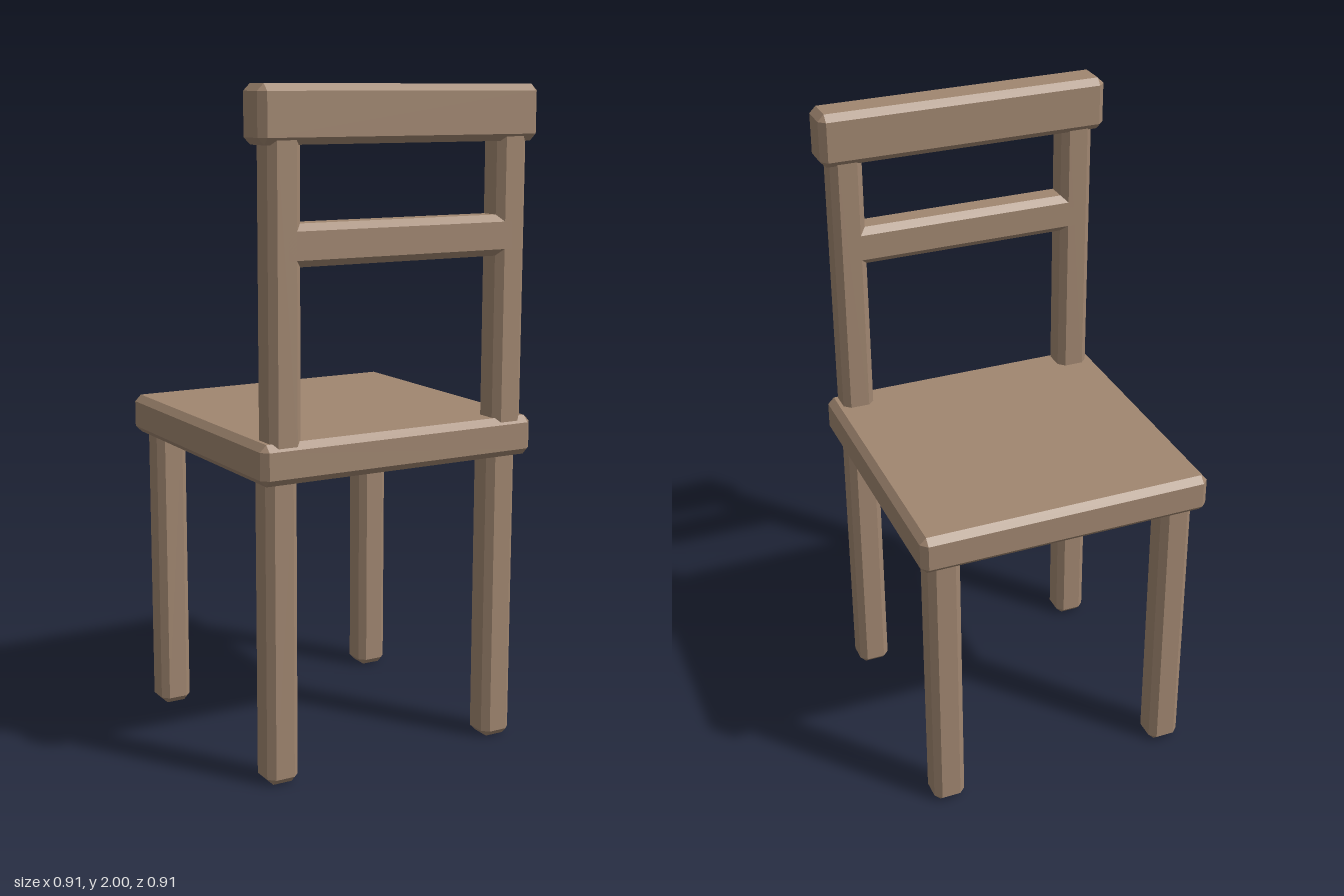
import * as THREE from 'three';
import { ConvexGeometry } from 'three/addons/geometries/ConvexGeometry.js';

const BEVEL = 0.02;
const wood = new THREE.MeshStandardMaterial({ color: 0xa08670, flatShading: true });

// Box with every edge chamfered, spanning [x0,x1] x [y0,y1] x [z0,z1]
function chamferBox(name, [x0, x1], [y0, y1], [z0, z1]) {
  const half = [(x1 - x0) / 2, (y1 - y0) / 2, (z1 - z0) / 2];
  const points = [];
  for (const sx of [-1, 1]) for (const sy of [-1, 1]) for (const sz of [-1, 1]) {
    const s = [sx, sy, sz];
    for (let axis = 0; axis < 3; axis++) {
      points.push(new THREE.Vector3(...half.map((h, i) => s[i] * (i === axis ? h : h - BEVEL))));
    }
  }
  const mesh = new THREE.Mesh(new ConvexGeometry(points), wood);
  mesh.position.set((x0 + x1) / 2, (y0 + y1) / 2, (z0 + z1) / 2);
  mesh.name = name;
  return mesh;
}

export function createModel() {
  const chair = new THREE.Group();
  chair.name = 'chair';

  // Seat
  chair.add(chamferBox('seat', [-0.457, 0.457], [0.9, 1.02], [-0.457, 0.457]));

  for (const side of [-1, 1]) {
    const label = side > 0 ? 'left' : 'right';
    const x = side > 0 ? [0.325, 0.425] : [-0.425, -0.325];

    // Legs, running up into the seat
    chair.add(chamferBox(label + 'BackrestSideLeg', x, [0, 0.94], [0.325, 0.425]));
    chair.add(chamferBox(label + 'OpenSideLeg', x, [0, 0.94], [-0.425, -0.325]));

    // Backrest posts
    chair.add(chamferBox(label + 'BackrestPost', x, [0.96, 1.89], [0.35, 0.45]));
  }

  // Backrest rails
  chair.add(chamferBox('middleRail', [-0.39, 0.39], [1.505, 1.625], [0.35, 0.45]));
  chair.add(chamferBox('topRail', [-0.457, 0.457], [1.837, 2], [0.335, 0.457]));

  return chair;
}
